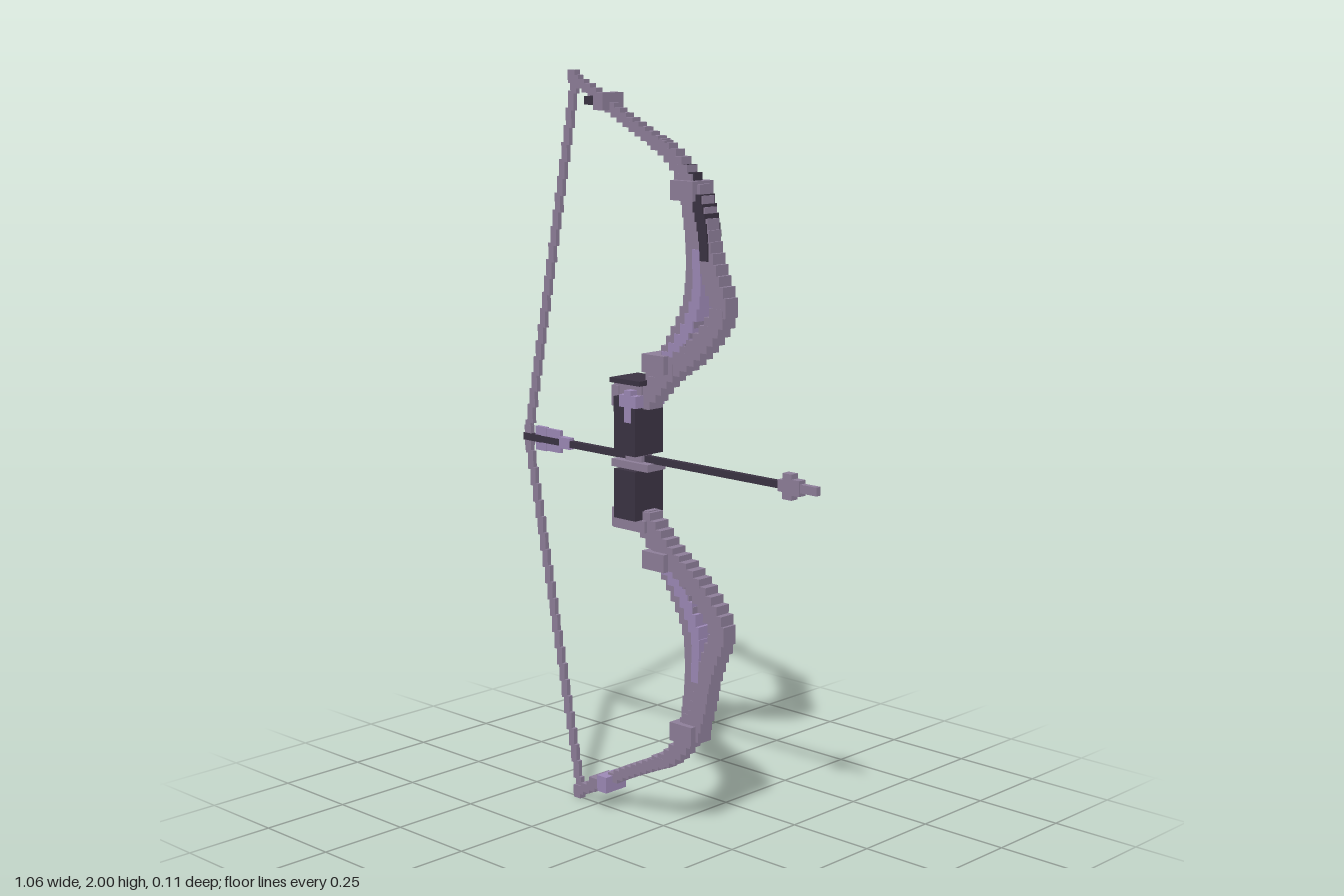
import * as THREE from 'three';

const mat = (name, color) => {
  const m = new THREE.MeshStandardMaterial({ color });
  m.name = name;
  return m;
};

export function createModel() {
  const mauve = mat('mauve', 0x8e7f99);
  const dark = mat('dark violet', 0x3b3343);
  const lilac = mat('lilac', 0x9d89b6);
  const bow = new THREE.Group();
  bow.name = 'bowAndArrow';

  // Axis-aligned block given by its limits; z is the half depth
  const block = (parent, name, m, x0, x1, y0, y1, z) => {
    const mesh = new THREE.Mesh(new THREE.BoxGeometry(x1 - x0, y1 - y0, z * 2), m);
    mesh.position.set((x0 + x1) / 2, (y0 + y1) / 2, 0);
    mesh.name = name;
    parent.add(mesh);
  };

  // Row of upright blocks stepping along a path, tapering from size a to size b
  const steps = (parent, name, m, points, n, a, b = a) => {
    const strand = new THREE.Group();
    strand.name = name;
    const path = new THREE.CatmullRomCurve3(points.map(([x, y]) => new THREE.Vector3(x, y, 0)));
    for (let i = 0; i < n; i++) {
      const t = i / (n - 1);
      const p = path.getPointAt(t);
      const [w, h, d] = a.map((v, k) => v + (b[k] - v) * t);
      block(strand, name + 'Block', m, p.x - w / 2, p.x + w / 2, p.y - h / 2, p.y + h / 2, d / 2);
    }
    parent.add(strand);
  };

  // Limbs: s = 1 upper, s = -1 lower, mirrored about y = 1
  for (const s of [1, -1]) {
    const limb = new THREE.Group();
    limb.name = s > 0 ? 'upperLimb' : 'lowerLimb';
    const at = pts => pts.map(([x, y]) => [x, 1 + s * y]);
    const slab = (name, m, x0, x1, y0, y1, z) =>
      block(limb, name, m, x0, x1, 1 + Math.min(s * y0, s * y1), 1 + Math.max(s * y0, s * y1), z);

    steps(limb, 'innerStrand', mauve,
      at([[-0.06, 0.16], [0.0, 0.235], [0.06, 0.32], [0.11, 0.41], [0.123, 0.5], [0.12, 0.6], [0.105, 0.7]]),
      20, [0.05, 0.05, 0.04], [0.05, 0.055, 0.04]);
    steps(limb, 'middleStrand', lilac,
      at([[0.03, 0.27], [0.09, 0.34], [0.135, 0.44], [0.135, 0.54]]),
      10, [0.03, 0.05, 0.046], [0.025, 0.05, 0.046]);
    steps(limb, 'outerStrand', mauve,
      at([[-0.05, 0.16], [0.03, 0.24], [0.11, 0.295], [0.17, 0.35], [0.213, 0.42], [0.19, 0.48],
        [0.165, 0.55], [0.15, 0.62], [0.125, 0.7]]),
      24, [0.05, 0.045, 0.05], [0.045, 0.055, 0.044]);
    steps(limb, 'limbShoulder', mauve,
      at([[0.115, 0.68], [0.085, 0.745], [0.03, 0.8], [-0.01, 0.82]]),
      8, [0.05, 0.045, 0.044], [0.04, 0.03, 0.03]);
    steps(limb, 'limbTip', mauve,
      at([[0.0, 0.818], [-0.08, 0.855], [-0.16, 0.895], [-0.24, 0.94], [-0.315, 0.975]]),
      15, [0.04, 0.026, 0.034], [0.03, 0.024, 0.02]);
    slab('tipKnob', mauve, -0.338, -0.312, 0.965, 1.0, 0.01);

    // Wide bands wrapped around the limb
    slab('rootBand', mauve, -0.04, 0.04, 0.237, 0.285, 0.04);
    slab('shoulderBand', mauve, 0.06, 0.138, 0.685, 0.735, 0.038);
    slab('tipBand', s > 0 ? mauve : lilac, -0.215, -0.18, 0.9, 0.945, 0.038);
    slab('tipBandEdge', s > 0 ? dark : mauve, -0.248, -0.215, 0.913, 0.935, 0.038);

    // Dark backing on the upper limb only
    if (s > 0) {
      steps(limb, 'darkBacking', dark,
        at([[0.165, 0.56], [0.158, 0.62], [0.14, 0.68]]), 6, [0.026, 0.045, 0.054]);
      steps(limb, 'darkShoulder', dark, at([[0.108, 0.74], [0.065, 0.778]]), 3, [0.028, 0.03, 0.03]);
    }

    // Bowstring half
    steps(limb, 'bowstring', mauve, at([[-0.322, 0.965], [-0.512, 0.02]]), 22, [0.021, 0.052, 0.013]);
    bow.add(limb);
  }

  // Grip
  const grip = new THREE.Group();
  grip.name = 'grip';
  block(grip, 'upperGrip', dark, -0.13, -0.052, 1.012, 1.165, 0.052);
  block(grip, 'lowerGrip', dark, -0.13, -0.052, 0.84, 0.972, 0.052);
  block(grip, 'gripBand', mauve, -0.158, -0.025, 0.972, 0.992, 0.034);
  block(grip, 'gripCore', mauve, -0.12, -0.06, 0.96, 1.02, 0.02);
  block(grip, 'topPlate', dark, -0.145, -0.035, 1.2, 1.213, 0.052);
  block(grip, 'topCap', mauve, -0.15, -0.05, 1.165, 1.2, 0.03);
  block(grip, 'upperLip', mauve, -0.155, -0.13, 1.135, 1.19, 0.035);
  block(grip, 'bottomCap', mauve, -0.15, -0.035, 0.808, 0.84, 0.035);
  block(grip, 'lowerLip', mauve, -0.155, -0.13, 0.81, 0.862, 0.035);
  block(grip, 'ornamentBar', lilac, -0.108, -0.048, 1.14, 1.172, 0.054);
  block(grip, 'ornamentStem', lilac, -0.09, -0.066, 1.1, 1.185, 0.054);
  bow.add(grip);

  // Arrow
  const arrow = new THREE.Group();
  arrow.name = 'arrow';
  block(arrow, 'shaft', dark, -0.46, 0.42, 0.991, 1.009, 0.008);
  block(arrow, 'nock', dark, -0.53, -0.46, 0.99, 1.01, 0.008);
  block(arrow, 'nockWrap', mauve, -0.525, -0.5, 0.975, 1.032, 0.007);
  block(arrow, 'fletchingRear', lilac, -0.482, -0.44, 0.968, 1.034, 0.006);
  block(arrow, 'fletchingMiddle', lilac, -0.44, -0.385, 0.97, 1.032, 0.005);
  block(arrow, 'fletchingFront', lilac, -0.385, -0.345, 0.985, 1.016, 0.009);
  block(arrow, 'headBase', mauve, 0.405, 0.43, 0.985, 1.015, 0.012);
  block(arrow, 'headBarb', mauve, 0.42, 0.45, 0.967, 1.033, 0.012);
  block(arrow, 'headMiddle', mauve, 0.45, 0.475, 0.98, 1.02, 0.012);
  block(arrow, 'headTip', mauve, 0.475, 0.527, 0.989, 1.011, 0.008);
  bow.add(arrow);

  return bow;
}
